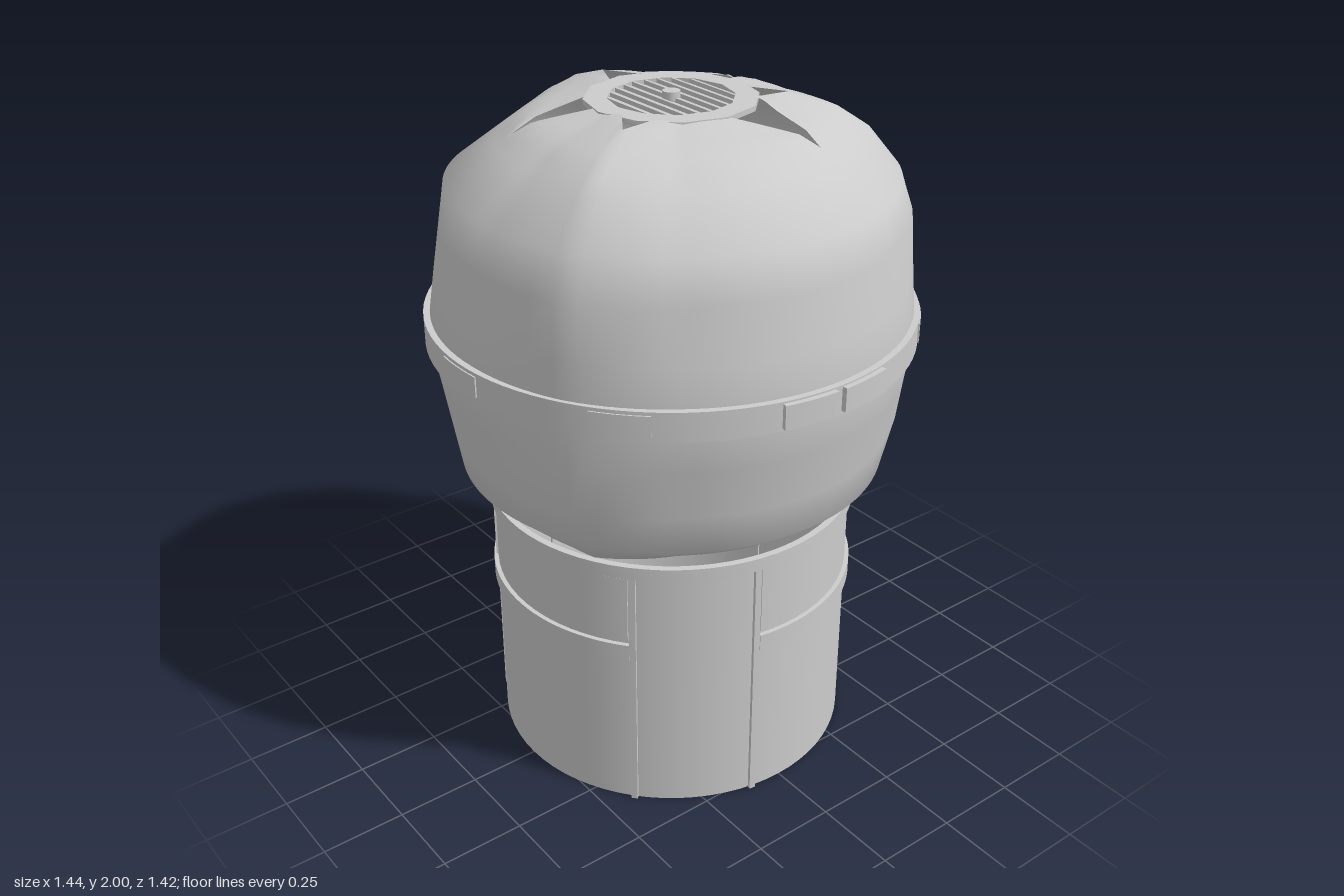
import * as THREE from 'three';
import { toCreasedNormals } from 'three/addons/utils/BufferGeometryUtils.js';

const RAD = Math.PI / 180;
const material = new THREE.MeshStandardMaterial({ color: 0xcccccc, side: THREE.DoubleSide });

function mesh(name, geometry) {
  const m = new THREE.Mesh(geometry, material);
  m.name = name;
  return m;
}

// Curved block between two radii, two heights and two angles (degrees from +x towards +z)
function arcBlock(name, r0, r1, y0, y1, a0, a1) {
  const s = new THREE.Shape();
  s.absarc(0, 0, r1, a0 * RAD, a1 * RAD, false);
  s.absarc(0, 0, r0, a1 * RAD, a0 * RAD, true);
  const segments = Math.max(3, Math.ceil((a1 - a0) / 4));
  const g = new THREE.ExtrudeGeometry(s, { depth: y1 - y0, bevelEnabled: false, curveSegments: segments });
  g.rotateX(Math.PI / 2).translate(0, y1, 0);
  return mesh(name, toCreasedNormals(g, 0.5));
}

// Full ring with a rectangular section
function ring(name, r0, r1, y0, y1, sides = 72) {
  const p = [[r0, y0], [r1, y0], [r1, y1], [r0, y1], [r0, y0]].map(q => new THREE.Vector2(...q));
  return mesh(name, toCreasedNormals(new THREE.LatheGeometry(p, sides), 0.6));
}

// Dome rows: height, radius on the three seams, radius between the seams
const ROWS = [
  [0.82, 0.50, 0.47], [0.84, 0.55, 0.50], [0.88, 0.59, 0.56], [0.93, 0.63, 0.625],
  [1.05, 0.68, 0.645], [1.2, 0.69, 0.67], [1.34, 0.695, 0.695], [1.5, 0.69, 0.67],
  [1.65, 0.685, 0.645], [1.77, 0.64, 0.625], [1.88, 0.55, 0.48],
  [1.94, 0.46, 0.40], [1.985, 0.32, 0.22], [1.99, 0.20, 0.18],
];
const BODY = 11;

// Spikes of the star opening: angle, tip radius, half width
const SPIKES = [[-24, 0.44, 24], [-114, 0.44, 15], [114, 0.44, 15], [180, 0.32, 12], [-60, 0.32, 12], [60, 0.32, 12]];

const angleGap = (a, b) => Math.abs(((a - b + 540) % 360 + 360) % 360 - 180);

function starRadius(a) {
  let r = 0.225;
  for (const [c, tip, h] of SPIKES) {
    const d = angleGap(a, c);
    if (d < h) {
      const edge = tip * 0.225 * Math.sin(h * RAD) /
        (tip * Math.sin(d * RAD) + 0.225 * Math.sin((h - d) * RAD));
      r = Math.max(r, edge);
    }
  }
  return r;
}

function domeColumn(a) {
  const seam = Math.min(angleGap(a, 180), angleGap(a, 60), angleGap(a, -60));
  const w = Math.min(1, seam / 25);
  const profile = ROWS.map(([y, rs, rm]) => [rs + (rm - rs) * w, y]);
  const column = profile.slice(0, BODY);
  const rStart = column[BODY - 1][0], rEnd = starRadius(a);
  // The crown follows the profile inwards to the star edge
  for (let k = 1; k <= 5; k++) {
    const r = rStart + (rEnd - rStart) * k / 5;
    let i = BODY - 1;
    while (i < profile.length - 2 && profile[i + 1][0] > r) i++;
    const [r0, y0] = profile[i], [r1, y1] = profile[i + 1];
    column.push([r, y0 + (y1 - y0) * (r - r0) / (r1 - r0)]);
  }
  return column;
}

function domeGeometry() {
  const pos = [], index = [], cols = 120, rows = BODY + 5;
  for (let j = 0; j < cols; j++) {
    const a = j * 360 / cols - 180;
    for (const [r, y] of domeColumn(a)) pos.push(r * Math.cos(a * RAD), y, r * Math.sin(a * RAD));
  }
  for (let j = 0; j < cols; j++) {
    for (let i = 0; i < rows - 1; i++) {
      const p = j * rows + i, q = ((j + 1) % cols) * rows + i;
      index.push(p, p + 1, q, q, p + 1, q + 1);
    }
  }
  const g = new THREE.BufferGeometry();
  g.setAttribute('position', new THREE.Float32BufferAttribute(pos, 3));
  g.setIndex(index);
  g.computeVertexNormals();
  return g;
}

function createNeck() {
  const neck = new THREE.Group();
  neck.name = 'neck';
  const wall = new THREE.CylinderGeometry(0.537, 0.537, 0.82, 72, 1, true).translate(0, 0.41, 0);
  neck.add(mesh('neckWall', wall));
  neck.add(ring('neckTopRing', 0.53, 0.55, 0.785, 0.825));
  // Three framed bays, each with a lower rail, end plates and full-height fins
  for (const c of [90, 210, 330]) {
    neck.add(arcBlock('bayRail', 0.53, 0.55, 0.51, 0.56, c - 40, c + 40));
    for (const side of [-1, 1]) {
      const plate = c + side * 34.5, fin = c + side * 41;
      neck.add(arcBlock('bayEndPlate', 0.53, 0.543, 0.57, 0.78, plate - 5, plate + 5));
      neck.add(arcBlock('neckFin', 0.53, 0.548, 0, 0.79, fin - 1, fin + 1));
    }
  }
  return neck;
}

function createBelt() {
  const belt = new THREE.Group();
  belt.name = 'belt';
  belt.add(ring('beltBand', 0.685, 0.705, 1.31, 1.395, 96));
  for (const a of [48, 90, 138, 222, 270, 314]) {
    belt.add(arcBlock('beltPlate', 0.69, 0.709, 1.325, 1.385, a - 6.5, a + 6.5));
  }
  // Raised clasps at the sides
  for (const a of [-7.5, 7.5, 173]) {
    belt.add(arcBlock('beltClasp', 0.69, 0.72, 1.32, 1.39, a - 6.5, a + 6.5));
  }
  return belt;
}

function createVent() {
  const vent = new THREE.Group();
  vent.name = 'vent';
  vent.add(ring('ventRim', 0.175, 0.24, 1.97, 1.985, 12));
  vent.add(mesh('ventPlate', new THREE.CylinderGeometry(0.185, 0.185, 0.01, 24).translate(0, 1.967, 0)));
  // Grille bars cut to the round opening
  for (let k = -4; k <= 4; k++) {
    const z = k * 0.036;
    const length = 2 * Math.sqrt(0.18 * 0.18 - z * z);
    vent.add(mesh('ventBar', new THREE.BoxGeometry(length, 0.012, 0.008).translate(0, 1.978, z)));
  }
  vent.add(mesh('ventCap', new THREE.CylinderGeometry(0.025, 0.025, 0.025, 12).translate(0, 1.9875, 0)));
  return vent;
}

export function createModel() {
  const model = new THREE.Group();
  model.name = 'domedTower';
  model.add(createNeck(), mesh('dome', domeGeometry()), createBelt(), createVent());
  return model;
}
